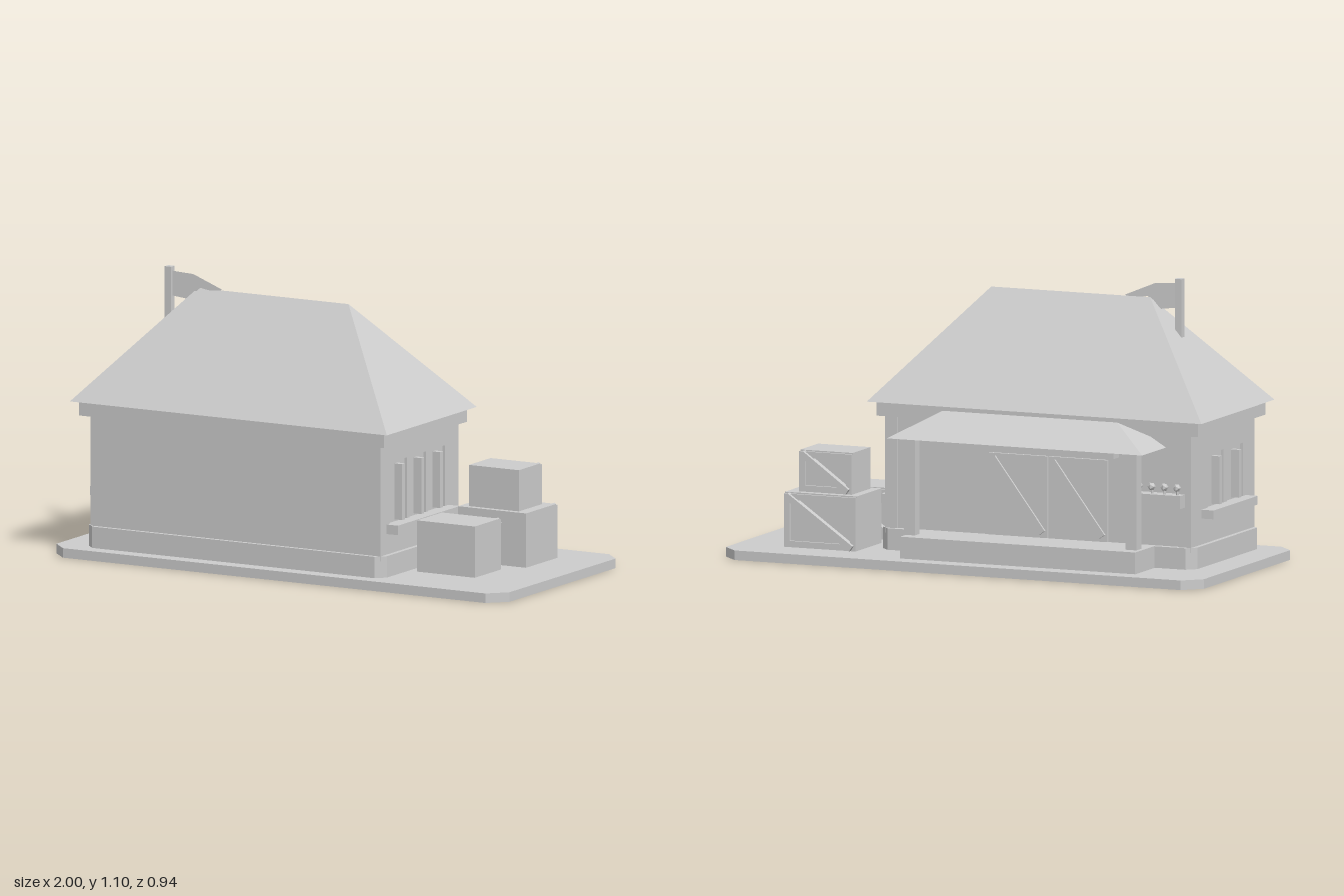
import * as THREE from 'three';

export function createModel() {
  const root = new THREE.Group();
  const grey = new THREE.MeshStandardMaterial({ color: 0xcccccc, side: THREE.DoubleSide, flatShading: true });
  grey.name = 'plain grey';

  const add = (name, geometry, parent = root) => {
    const mesh = new THREE.Mesh(geometry, grey);
    mesh.name = name;
    parent.add(mesh);
    return mesh;
  };
  // Leaves out the faces that lie on the lowest level
  const openBottom = (geometry) => {
    const geo = geometry.index ? geometry.toNonIndexed() : geometry;
    geo.computeBoundingBox();
    const p = geo.attributes.position, low = geo.boundingBox.min.y + 1e-5, kept = [];
    for (let i = 0; i < p.count; i += 3) {
      if (Math.max(p.getY(i), p.getY(i + 1), p.getY(i + 2)) > low) kept.push(i, i + 1, i + 2);
    }
    geo.setIndex(kept);
    geo.clearGroups();
    return geo;
  };
  // Box given by its low and high limits on each axis
  const box = (name, x0, x1, y0, y1, z0, z1, parent = root, open = false) => {
    const geo = new THREE.BoxGeometry(x1 - x0, y1 - y0, z1 - z0);
    const mesh = add(name, open ? openBottom(geo) : geo, parent);
    mesh.position.set((x0 + x1) / 2, (y0 + y1) / 2, (z0 + z1) / 2);
    return mesh;
  };
  const shapeOf = (pts) => new THREE.Shape(pts.map(([x, y]) => new THREE.Vector2(x, y)));
  const rectHole = (a0, a1, b0, b1) =>
    new THREE.Path([[a0, b0], [a0, b1], [a1, b1], [a1, b0]].map(([a, b]) => new THREE.Vector2(a, b)));
  // Slab with cut corners, hollow from below
  const slab = (name, x0, x1, z0, z1, cut, y0, y1) => {
    const shape = shapeOf([
      [x0 + cut, -z1], [x1 - cut, -z1], [x1, -z1 + cut], [x1, -z0 - cut],
      [x1 - cut, -z0], [x0 + cut, -z0], [x0, -z0 - cut], [x0, -z1 + cut]]);
    const geo = new THREE.ExtrudeGeometry(shape, { depth: y1 - y0, bevelEnabled: false });
    geo.rotateX(-Math.PI / 2);
    add(name, openBottom(geo)).position.y = y0;
  };
  // Hip roof: box whose top face is drawn together into a ridge
  const hipRoof = (name, x0, x1, z0, z1, y0, y1, r0, r1) => {
    const geo = new THREE.BoxGeometry(1, 1, 1).toNonIndexed();
    const p = geo.attributes.position;
    for (let i = 0; i < p.count; i++) {
      const top = p.getY(i) > 0, right = p.getX(i) > 0, front = p.getZ(i) > 0;
      if (top) p.setXYZ(i, right ? r1 : r0, y1, (z0 + z1) / 2);
      else p.setXYZ(i, right ? x1 : x0, y0, front ? z1 : z0);
    }
    geo.computeVertexNormals();
    add(name, geo);
  };

  // Ground slab and plinth
  slab('base', -1, 1, -0.47, 0.47, 0.067, 0, 0.037);
  slab('plinth', -0.873, 0.443, -0.215, 0.41, 0.035, 0.034, 0.12);

  // Walls
  box('wallCore', -0.843, 0.413, 0.1, 0.57, -0.19, 0.394);
  const sideWall = (name, x, windows) => {
    const shape = shapeOf([[-0.394, 0.1], [0.19, 0.1], [0.19, 0.57], [-0.394, 0.57]]);
    windows.forEach(([z0, z1, y0, y1]) => shape.holes.push(rectHole(-z1, -z0, y0, y1)));
    const geo = new THREE.ExtrudeGeometry(shape, { depth: 0.012, bevelEnabled: false });
    geo.rotateY(Math.PI / 2);
    add(name, geo).position.x = x;
  };
  const leftSide = [0.255, 0.11, -0.033].map((z) => [z - 0.064, z + 0.064, 0.235, 0.473]);
  const rightSide = [0.03, 0.21].map((z) => [z - 0.075, z + 0.075, 0.253, 0.46]);
  sideWall('leftWall', 0.413, leftSide);
  sideWall('rightWall', -0.855, rightSide);
  leftSide.forEach(([z0, z1]) =>
    box('leftWindowBar', 0.413, 0.447, 0.243, 0.46, (z0 + z1) / 2 - 0.011, (z0 + z1) / 2 + 0.011));
  rightSide.forEach(([z0, z1]) =>
    box('rightWindowBar', -0.877, -0.843, 0.26, 0.445, (z0 + z1) / 2 - 0.011, (z0 + z1) / 2 + 0.011));
  box('leftSill', 0.42, 0.475, 0.2, 0.237, -0.125, 0.347);
  box('rightSill', -0.905, -0.85, 0.22, 0.254, -0.1, 0.31);
  box('cornerPost', 0.375, 0.424, 0.1, 0.57, -0.2, -0.15);
  box('cornerPost', -0.854, -0.805, 0.1, 0.57, -0.2, -0.15);

  // Main roof
  box('eaveBand', -0.885, 0.46, 0.55, 0.607, -0.202, 0.428);
  hipRoof('mainRoof', -0.912, 0.488, -0.23, 0.453, 0.606, 1.026, -0.545, 0.12);

  // Back porch
  box('porchFloor', -0.71, 0.273, 0.012, 0.121, -0.397, -0.2, root, true);
  hipRoof('porchRoof', -0.746, 0.322, -0.414, -0.136, 0.5, 0.598, -0.58, 0.15);
  for (const x of [0.258, -0.67]) box('porchPost', x - 0.023, x + 0.023, 0.12, 0.515, -0.346, -0.3);
  box('doorHeader', -0.55, 0.08, 0.45, 0.488, -0.244, -0.18);

  // Diagonal board across a rectangle on a back-facing surface
  const brace = (name, x0, x1, y0, y1, z0, z1, width, parent) => {
    const dx = x1 - x0, dy = y1 - y0;
    const mesh = add(name, new THREE.BoxGeometry(Math.hypot(dx, dy) - width, width, z1 - z0), parent);
    mesh.position.set((x0 + x1) / 2, (y0 + y1) / 2, (z0 + z1) / 2);
    mesh.rotation.z = Math.atan2(dy, dx);
  };

  // Double doors
  for (const x of [-0.505, -0.255]) {
    const door = new THREE.Group();
    door.name = 'door';
    root.add(door);
    box('doorPanel', x, x + 0.245, 0.12, 0.437, -0.203, -0.18, door);
    brace('doorBrace', x + 0.01, x + 0.235, 0.13, 0.43, -0.212, -0.2, 0.028, door);
  }

  // Flower box on the back wall
  box('flowerBox', -0.83, -0.63, 0.275, 0.325, -0.247, -0.18);
  for (let i = 0; i < 4; i++) {
    const x = -0.81 + i * 0.053;
    const stem = add('flowerStem', new THREE.CylinderGeometry(0.005, 0.005, 0.03, 6));
    stem.position.set(x, 0.335, -0.226);
    const flower = add('flower', new THREE.IcosahedronGeometry(0.016, 0));
    flower.position.set(x, 0.353, -0.23);
  }

  // Crates with a thin back frame and a diagonal board: x0, x1, y0, y1, z0, z1
  const crates = [
    [0.48, 0.735, 0.015, 0.236, -0.005, 0.21],
    [0.5, 0.8, 0.015, 0.248, -0.322, -0.067],
    [0.535, 0.755, 0.248, 0.408, -0.28, -0.09]];
  for (const [x0, x1, y0, y1, z0, z1] of crates) {
    const crate = new THREE.Group();
    crate.name = 'crate';
    root.add(crate);
    const w = 0.024, back = z0 + 0.026, frame = z0 + 0.015, bottom = Math.max(y0, 0.037);
    box('crateBody', x0, x1, y0, y1, back, z1, crate, true);
    for (const x of [x0, x1 - w]) box('crateUpright', x, x + w, bottom, y1 - 0.005, frame, back, crate);
    for (const y of [bottom, y1 - w - 0.005]) box('crateRail', x0 + w, x1 - w, y, y + w, frame, back, crate);
    brace('crateBrace', x0 + 0.004, x1 - 0.004, bottom + 0.004, y1 - 0.004, z0, back, 0.024, crate);
  }

  // Flag and pole on the roof
  box('flagPole', -0.675, -0.647, 0.84, 1.103, 0.113, 0.14);
  const top = [[-0.65, 1.086], [-0.56, 1.08], [-0.5, 1.055], [-0.44, 1.03]];
  const low = [[-0.65, 0.99], [-0.585, 0.982], [-0.54, 1.03], [-0.455, 1.016]];
  const cloth = new THREE.PlaneGeometry(1, 1, 3, 1);
  for (let i = 0; i < 4; i++) {
    [top[i], low[i]].forEach(([x, y], row) =>
      cloth.attributes.position.setXYZ(i + row * 4, x, y, 0.128 - (x + 0.65) * 0.08));
  }
  cloth.computeVertexNormals();
  add('flag', cloth);

  return root;
}
